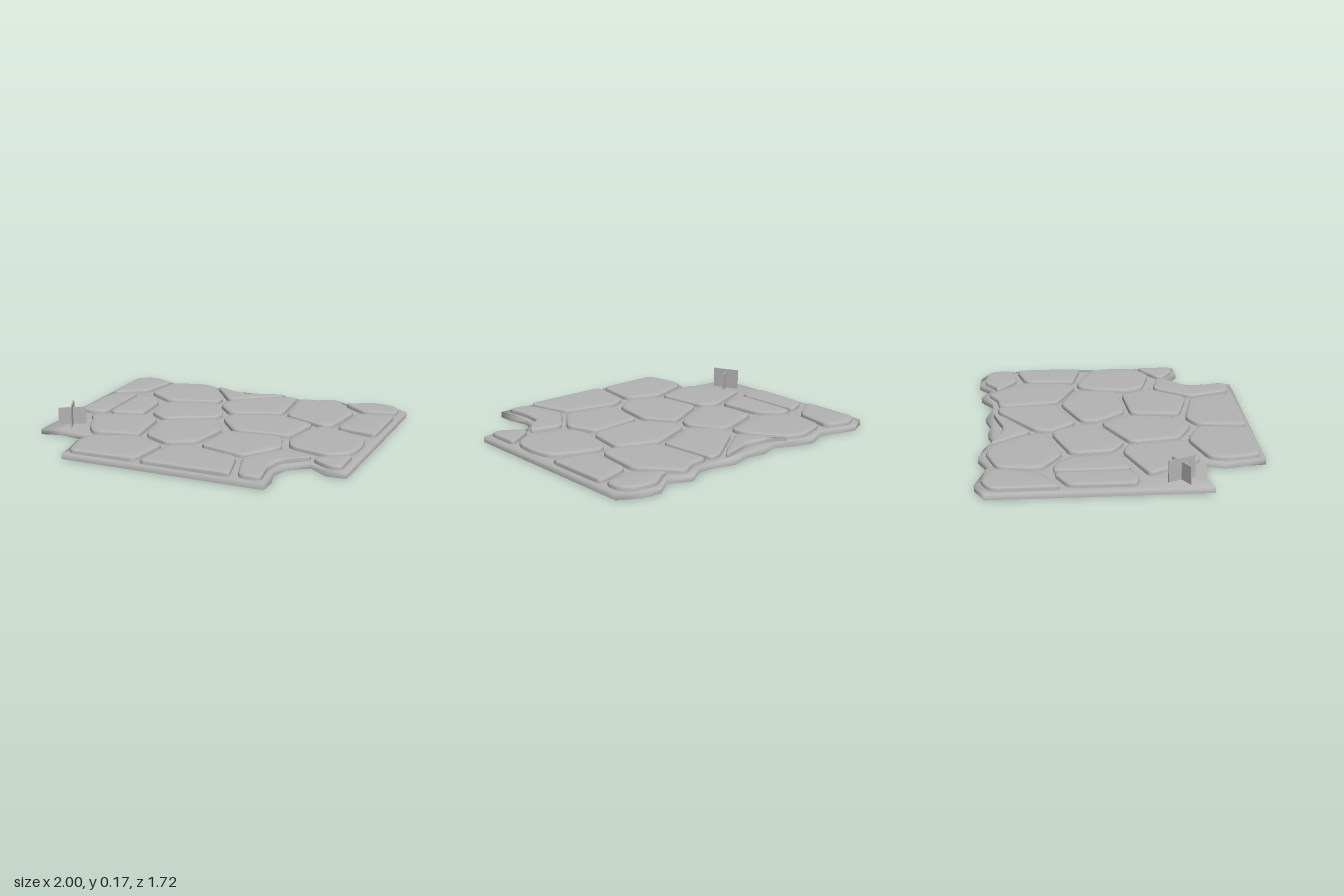
import * as THREE from 'three';

const stoneGrey = new THREE.MeshStandardMaterial({ color: 0xb4b4b4, side: THREE.DoubleSide });
stoneGrey.name = 'stoneGrey';
const BED = 0.034; // height of the mortar bed

// Turns a flat list of x, z hundredths into a counter-clockwise outline (y holds -z)
function outline(list) {
  const pts = [];
  for (let i = 0; i < list.length; i += 2) pts.push(new THREE.Vector2(list[i] / 100, -list[i + 1] / 100));
  return THREE.ShapeUtils.area(pts) < 0 ? pts.reverse() : pts;
}

// Softens each corner with a short three-point curve
function roundCorners(pts) {
  const out = [];
  pts.forEach((p, i) => {
    const prev = pts[(i + pts.length - 1) % pts.length], next = pts[(i + 1) % pts.length];
    const a = p.clone().lerp(prev, Math.min(0.3, 0.04 / p.distanceTo(prev)));
    const b = p.clone().lerp(next, Math.min(0.3, 0.04 / p.distanceTo(next)));
    out.push(a, a.clone().add(b).multiplyScalar(0.25).addScaledVector(p, 0.5), b);
  });
  return out;
}

function centroid(pts) {
  const c = new THREE.Vector2();
  let area = 0;
  pts.forEach((p, i) => {
    const q = pts[(i + 1) % pts.length], k = p.cross(q);
    area += k;
    c.x += (p.x + q.x) * k;
    c.y += (p.y + q.y) * k;
  });
  return c.divideScalar(3 * area);
}

function makeMesh(name, positions, index) {
  const g = new THREE.BufferGeometry();
  g.setAttribute('position', new THREE.Float32BufferAttribute(positions, 3));
  g.setIndex(index);
  g.computeVertexNormals();
  const mesh = new THREE.Mesh(g, stoneGrey);
  mesh.name = name;
  return mesh;
}

// Open-bottomed stone: steep wall, rounded shoulder and a nearly flat crown
function makeStone(pts) {
  const n = pts.length, c = centroid(pts), pos = [], index = [];
  const rings = [[0, BED], [0.001, 0.05], [0.006, 0.057], [0.018, 0.0605], [0.05, 0.062]];
  rings.forEach(([inset, y], r) => {
    pts.forEach((p, i) => {
      const q = p.clone().lerp(c, Math.min(0.6, inset / p.distanceTo(c)));
      pos.push(q.x, y, -q.y);
      const j = (i + 1) % n, a = r * n + i, b = r * n + j;
      if (r < rings.length - 1) index.push(a, b, b + n, a, b + n, a + n);
      else index.push(a, b, rings.length * n);
    });
  });
  pos.push(c.x, 0.0635, -c.y);
  return makeMesh('pavingStone', pos, index);
}

// Mortar sheet pierced by the stones, with a skirt down to the ground
function makeBed(edge, holes) {
  const cut = holes.map((h) => h.slice().reverse());
  const index = THREE.ShapeUtils.triangulateShape(edge, cut).flat();
  const pos = [edge, ...cut].flat().flatMap((p) => [p.x, BED, -p.y]);
  const n = edge.length, base = pos.length / 3;
  edge.forEach((p, i) => {
    pos.push(p.x, 0, -p.y);
    const j = (i + 1) % n;
    index.push(base + i, base + j, j, base + i, j, i);
  });
  return makeMesh('mortarBed', pos, index);
}

export function createModel() {
  const model = new THREE.Group();
  model.name = 'brokenPavement';
  const stones = [];
  const stone = (...list) => stones.push(roundCorners(outline(list)));

  // Back row
  stone(-97, -75, -86, -81, -70, -75, -76, -48, -97, -35);
  stone(-68, -72, -47, -79, -35, -75, -20, -52, -20, -42, -52, -33, -71, -46, -71, -55);
  stone(-35, -77, -25, -71, -6, -69, 2, -72, 17, -76, 9, -68, -16, -51);
  stone(18, -72, 26, -73, 29, -36, 26, -34, -3, -23, -16, -38, -14, -49);
  stone(28, -72, 40, -73, 50, -79, 54, -77, 71, -56, 67, -25, 61, -21, 32, -34);
  stone(60, -74, 64, -75, 75, -83, 90, -81, 96, -75, 96, -64, 76, -60, 62, -71);
  stone(73, -53, 78, -56, 97, -61, 97, -16, 70, -22);
  // Middle rows
  stone(-95, -32, -78, -40, -77.5, 6, -86, 9, -96, 7);
  stone(-76, -40, -66, -39, -56, -28, -54, 1, -76, 6);
  stone(-51, -29, -21, -39, -15, -37, -5, -18, -8, -10, -37, 5, -50, -4);
  stone(-1, -20, 30, -32, 55, -22, 50, 5, 45, 7, 13, 9, -2, -10);
  stone(60, -18, 66, -20, 78, -16, 93, -9, 96, 5, 95, 18, 92, 24, 82, 31, 56, 24, 51, 12, 55, -8);
  stone(-84, 15, -50, 2, -40, 6, -36, 40, -41, 42, -65, 47, -73, 37, -78, 24);
  stone(-37, 8, -5, -8, 7, 11, 2, 39, -14, 48, -33, 38);
  stone(10, 12, 46, 9, 53, 29, 37, 51, 27, 49, 6, 43);
  // Front row
  stone(-62, 52, -34, 43, -14, 52, -18, 82, -61, 83, -65, 62);
  stone(-11, 52, 1, 46, 35, 54, 42, 81, 41, 83, -15, 83);
  stone(38, 54, 55, 31, 75, 36, 72, 41, 60, 51, 58, 65, 61, 82, 47, 82);
  stone(77, 36, 96, 24, 96, 48, 88, 48, 77, 41);

  const edge = outline([
    -100, -78, -88, -84, -74, -80, -63, -77, -50, -83, -37, -80, -25, -74, -13, -78, 0, -76,
    13, -80, 27, -76, 38, -76, 50, -84, 63, -77, 75, -86, 87, -85, 100, -78,
    100, 50, 88, 51, 76, 42, 64, 51, 61, 62, 64, 74, 64, 85.5,
    -64, 85.5, -65, 74, -68, 61, -64, 50, -88, 47, -100, 50,
  ]);
  model.add(makeBed(edge, stones));
  stones.forEach((s) => model.add(makeStone(s)));

  // Two crossed upright panels in the bare corner
  const tuft = new THREE.Group();
  tuft.name = 'crossedPanels';
  [[0.175, 0.165, -1.14], [0.175, 0.143, 0.53]].forEach(([length, top, turn]) => {
    const panel = new THREE.Mesh(new THREE.BoxGeometry(length, top - 0.025, 0.008), stoneGrey);
    panel.name = 'uprightPanel';
    panel.position.set(-0.877, (top + 0.025) / 2, 0.325);
    panel.rotation.y = turn;
    tuft.add(panel);
  });
  model.add(tuft);
  return model;
}
